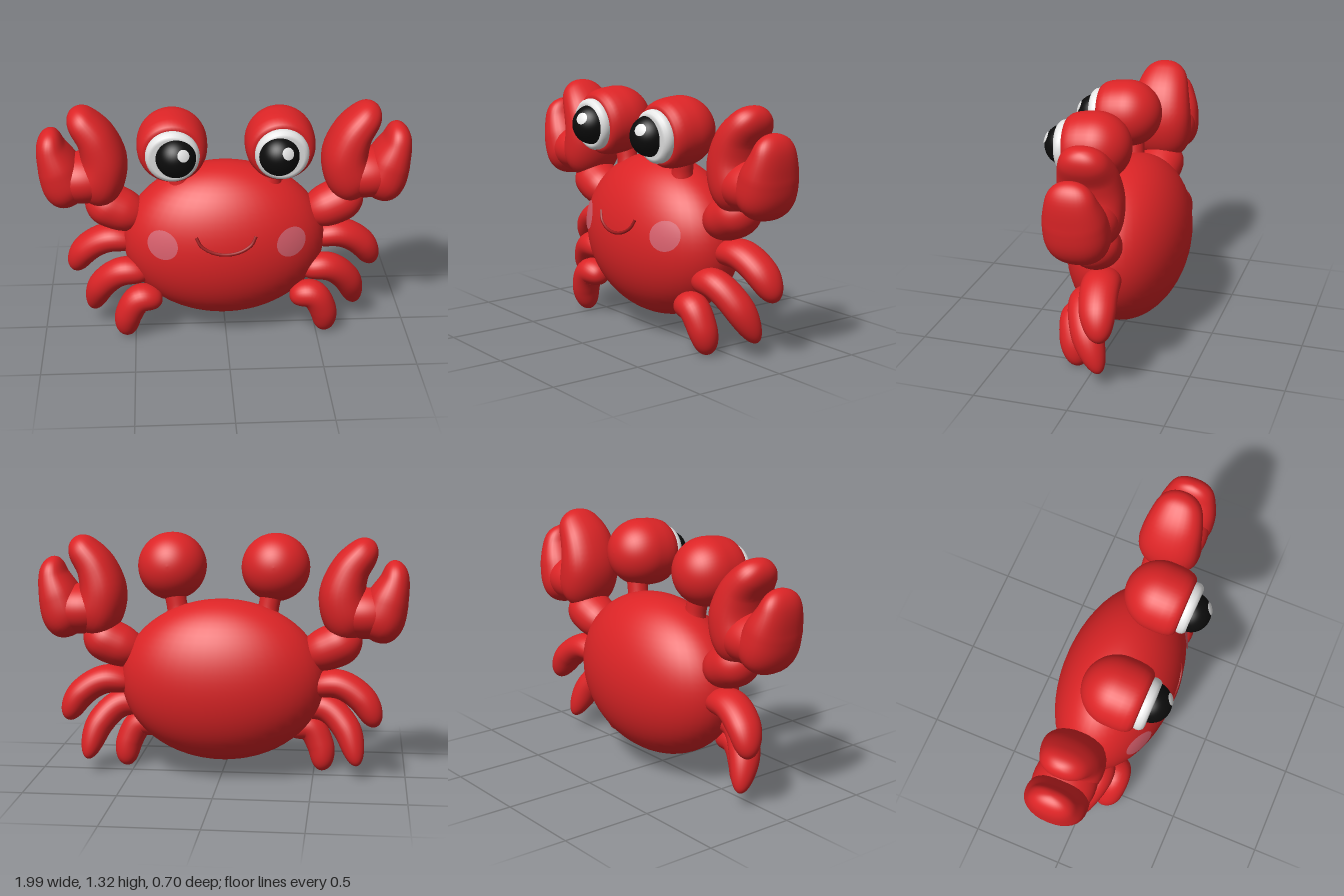
import * as THREE from 'three';
import { mergeVertices } from 'three/addons/utils/BufferGeometryUtils.js';

const material = (name, color) => {
  const m = new THREE.MeshStandardMaterial({ color });
  m.name = name;
  return m;
};

// Body ellipsoid: centre and radii
const BODY = { c: [-0.005, 0.53, -0.03], r: [0.55, 0.44, 0.318] };
const bodyFrontZ = (x, y) => {
  const u = (x - BODY.c[0]) / BODY.r[0], v = (y - BODY.c[1]) / BODY.r[1];
  return BODY.c[2] + BODY.r[2] * Math.sqrt(Math.max(0, 1 - u * u - v * v));
};

// Closed limb along a curve. Each row: x, y, z, half width, half depth.
// "blunt" sets how late the ends round off, "square" below 1 boxes the section.
function limb(rows, side, blunt = 4, square = 1) {
  const path = new THREE.CatmullRomCurve3(rows.map(r => new THREE.Vector3(r[0] * side, r[1], r[2])));
  const size = new THREE.CatmullRomCurve3(rows.map(r => new THREE.Vector3(r[3], r[4], 0)));
  const N = 40, M = 32, pos = [], index = [];
  const zAxis = new THREE.Vector3(0, 0, 1);
  const soft = v => Math.sign(v) * Math.pow(Math.abs(v), square);
  for (let i = 0; i <= N; i++) {
    const t = (1 - Math.cos(Math.PI * i / N)) / 2;
    const c = path.getPoint(t), s = size.getPoint(t), tan = path.getTangent(t);
    const across = tan.clone().cross(zAxis).normalize();
    const deep = across.clone().cross(tan).normalize();
    const round = (i === 0 || i === N) ? 0 : Math.sqrt(1 - Math.pow(Math.abs(2 * t - 1), blunt));
    for (let j = 0; j < M; j++) {
      const a = j / M * Math.PI * 2;
      const p = c.clone()
        .addScaledVector(across, s.x * round * soft(Math.cos(a)))
        .addScaledVector(deep, s.y * round * soft(Math.sin(a)));
      pos.push(p.x, p.y, p.z);
      if (i < N) {
        const k = (j + 1) % M, A = i * M + j, B = i * M + k;
        index.push(A, A + M, B, B, A + M, B + M);
      }
    }
  }
  let g = new THREE.BufferGeometry();
  g.setAttribute('position', new THREE.Float32BufferAttribute(pos, 3));
  g.setIndex(index);
  g = mergeVertices(g, 1e-5);
  g.computeVertexNormals();
  return g;
}

// Turned shape whose axis points forward; rows are [radius, z]
const turned = rows => new THREE.LatheGeometry(
  rows.map(([r, z]) => new THREE.Vector2(r, z)), 48).rotateX(Math.PI / 2);

export function createModel() {
  const red = material('shell red', 0xdc2426);
  const darkRed = material('mouth dark red', 0x9c1a1c);
  const pink = material('cheek pink', 0xd85f6c);
  const white = material('eye white', 0xe6e6e6);
  const black = material('pupil black', 0x0c0c0c);

  const model = new THREE.Group();
  model.name = 'crab';
  const add = (parent, name, geometry, mat, x = 0, y = 0, z = 0) => {
    const m = new THREE.Mesh(geometry, mat);
    m.name = name;
    m.position.set(x, y, z);
    parent.add(m);
    return m;
  };
  const ball = (rx, ry, rz) => new THREE.SphereGeometry(1, 48, 32).scale(rx, ry, rz);

  add(model, 'body', ball(...BODY.r), red, ...BODY.c);

  // Smile following the front of the body
  const smile = [[-0.165, 0.665], [-0.14, 0.62], [-0.08, 0.585], [-0.008, 0.573],
    [0.065, 0.585], [0.125, 0.62], [0.15, 0.665]];
  const smileCurve = new THREE.CatmullRomCurve3(
    smile.map(([x, y]) => new THREE.Vector3(x, y, bodyFrontZ(x, y))));
  add(model, 'mouth', new THREE.TubeGeometry(smileCurve, 40, 0.009, 8), darkRed);

  // Eyeball outline: sphere behind, flattened rounded face in front
  const eyeRows = [];
  for (let i = 0; i <= 16; i++) {
    const a = i / 16 * Math.PI / 2;
    eyeRows.push([0.184 * Math.sin(a), -0.186 * Math.cos(a)]);
  }
  eyeRows.push([0.184, 0.05], [0.18, 0.09], [0.172, 0.118], [0.158, 0.137], [0.14, 0.144], [0, 0.144]);
  const whiteRows = [[0.13, 0.125], [0.138, 0.14], [0.141, 0.158], [0.138, 0.176],
    [0.127, 0.19], [0.112, 0.195], [0, 0.195]];

  // Limb centre lines for the left side
  const legs = {
    rearLeg: [[0.46, 0.5, -0.05, 0.07, 0.09], [0.63, 0.525, -0.06, 0.078, 0.1],
      [0.76, 0.45, -0.085, 0.077, 0.095], [0.84, 0.31, -0.12, 0.065, 0.07]],
    middleLeg: [[0.41, 0.36, 0.06, 0.07, 0.08], [0.56, 0.37, 0.05, 0.078, 0.085],
      [0.675, 0.27, 0, 0.077, 0.085], [0.74, 0.08, -0.085, 0.06, 0.06]],
    frontLeg: [[0.35, 0.22, 0.11, 0.07, 0.08], [0.47, 0.24, 0.125, 0.078, 0.085],
      [0.535, 0.14, 0.115, 0.075, 0.08], [0.55, 0.002, 0.085, 0.065, 0.065]],
  };
  const bigFinger = [[0.74, 0.775, -0.02, 0.13, 0.16], [0.675, 0.88, -0.02, 0.135, 0.17],
    [0.645, 1.0, -0.02, 0.127, 0.17], [0.68, 1.13, -0.015, 0.106, 0.155],
    [0.75, 1.225, -0.015, 0.088, 0.13], [0.8, 1.292, -0.015, 0.075, 0.11]];
  const smallFinger = [[0.78, 0.775, -0.02, 0.12, 0.15], [0.845, 0.87, -0.02, 0.13, 0.165],
    [0.885, 0.98, -0.015, 0.113, 0.16], [0.918, 1.09, -0.01, 0.08, 0.13],
    [0.915, 1.188, -0.01, 0.06, 0.11]];

  for (const side of [1, -1]) {
    const tag = side > 0 ? 'left' : 'right';

    // Cheek patch laid over the body
    const cheek = new THREE.RingGeometry(0.0001, 0.08, 36, 6);
    const p = cheek.attributes.position, cx = 0.342 * side, cy = 0.605;
    for (let i = 0; i < p.count; i++) {
      const x = p.getX(i) + cx, y = p.getY(i) + cy;
      p.setXYZ(i, x, y, bodyFrontZ(x, y) + 0.008);
    }
    cheek.computeVertexNormals();
    add(model, tag + 'Cheek', cheek, pink);

    // Eye on a short stalk, tilted slightly down
    add(model, tag + 'EyeStalk', limb([[0.235, 0.84, 0.02, 0.068, 0.068],
      [0.25, 0.93, 0.025, 0.056, 0.056], [0.27, 1.03, 0.03, 0.058, 0.058]], side, 10), red);
    const eye = new THREE.Group();
    eye.name = tag + 'Eye';
    eye.position.set(0.282 * side, 1.133, 0.07);
    eye.rotation.x = 0.1;
    model.add(eye);
    add(eye, 'eyeball', turned(eyeRows.slice().map(([r, z]) => [r, -z]).reverse().map(([r, z]) => [r, z])), red)
      .geometry.rotateY(Math.PI);
    add(eye, 'eyeWhite', turned(whiteRows.map(([r, z]) => [r, -z]).reverse()), white)
      .geometry.rotateY(Math.PI);
    const px = -0.017 * side;
    add(eye, 'pupil', ball(0.105, 0.107, 0.105), black, px, 0.005, 0.178);
    const glint = add(eye, 'glint', new THREE.SphereGeometry(0.11, 24, 6, 0, Math.PI * 2, 0, 0.3),
      white, px, 0.005, 0.178);
    glint.quaternion.setFromUnitVectors(new THREE.Vector3(0, 1, 0),
      new THREE.Vector3(0.038, 0.052, 0.085).normalize());

    // Arm and pincer
    add(model, tag + 'Arm', limb([[0.42, 0.66, -0.02, 0.1, 0.11], [0.54, 0.7, -0.025, 0.115, 0.125],
      [0.64, 0.745, -0.03, 0.12, 0.13], [0.74, 0.81, -0.03, 0.1, 0.11]], side, 3), red);
    const claw = new THREE.Group();
    claw.name = tag + 'Claw';
    model.add(claw);
    add(claw, 'palm', ball(0.215, 0.137, 0.165), red, 0.76 * side, 0.905, -0.02);
    add(claw, 'bigFinger', limb(bigFinger, side, 5, 0.88), red);
    add(claw, 'smallFinger', limb(smallFinger, side, 5, 0.88), red);

    for (const [name, rows] of Object.entries(legs)) {
      add(model, tag + name[0].toUpperCase() + name.slice(1), limb(rows, side, 5), red);
    }
  }
  return model;
}
